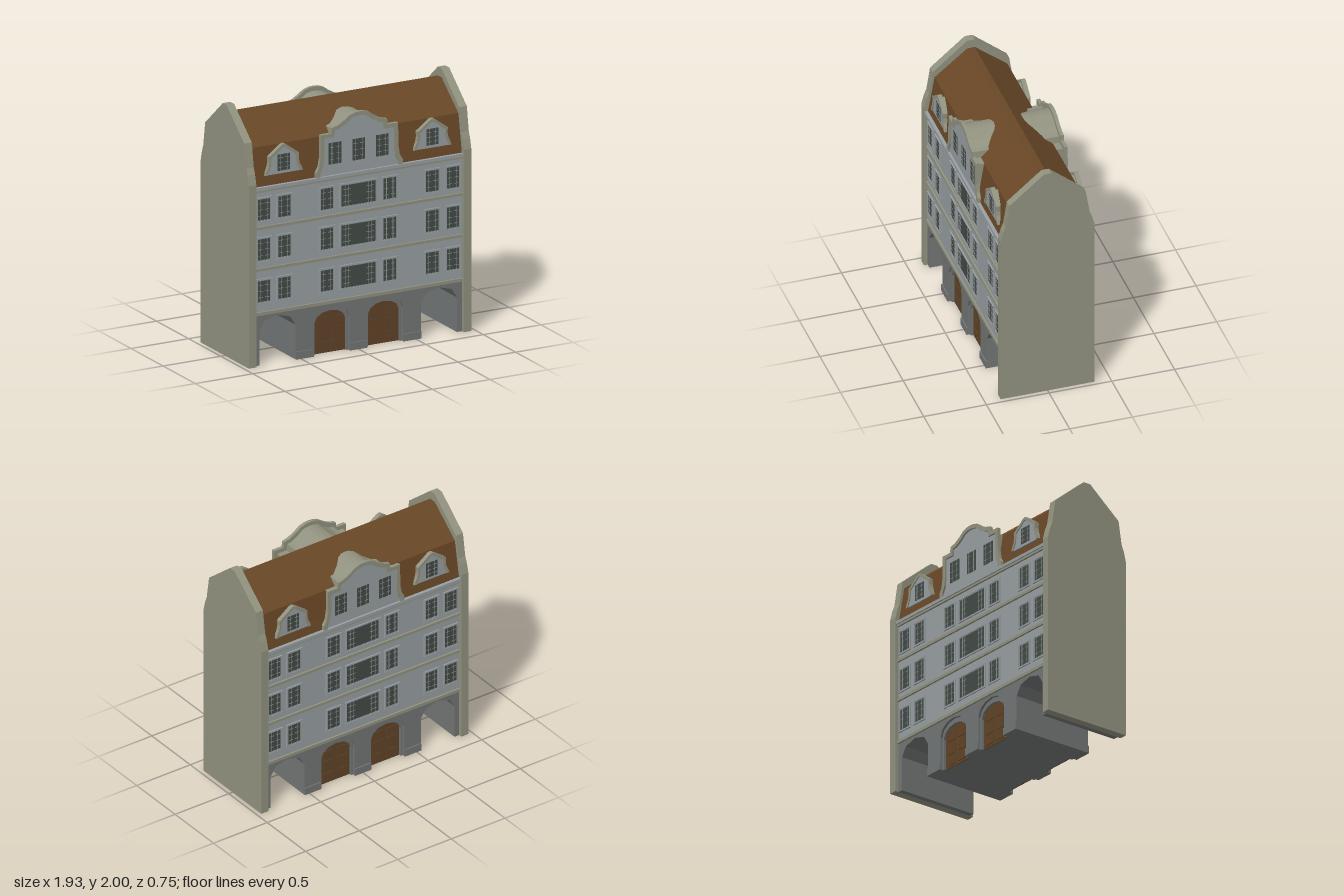
import * as THREE from 'three';

const mat = (name, color) => {
  const m = new THREE.MeshStandardMaterial({ color });
  m.name = name;
  return m;
};

export function createModel() {
  const M = {
    trim: mat('sandstone trim', 0x929280),
    wall: mat('grey plaster', 0x989fa2),
    stone: mat('dark stone', 0x727575),
    roof: mat('brown roof', 0x684726),
    door: mat('door wood', 0x5f4327),
    glass: mat('dark glass', 0x434a45),
    frame: mat('window frame', 0x8b9191),
  };
  const model = new THREE.Group();
  model.name = 'townHouse';

  const add = (parent, name, geo, material) => {
    const mesh = new THREE.Mesh(geo, material);
    mesh.name = name;
    parent.add(mesh);
    return mesh;
  };
  // Box given by its limits
  const box = (parent, name, material, x0, x1, y0, y1, z0, z1) => {
    const mesh = add(parent, name, new THREE.BoxGeometry(x1 - x0, y1 - y0, z1 - z0), material);
    mesh.position.set((x0 + x1) / 2, (y0 + y1) / 2, (z0 + z1) / 2);
    return mesh;
  };
  const toShape = (pts) => new THREE.Shape(pts.map(([x, y]) => new THREE.Vector2(x, y)));
  // Outline extruded from z0 to z1
  const slab = (parent, name, material, pts, z0, z1) => {
    const geo = new THREE.ExtrudeGeometry(toShape(pts), { depth: z1 - z0, bevelEnabled: false });
    geo.translate(0, 0, z0);
    return add(parent, name, geo, material);
  };
  // Right half (bottom to top) completed by its mirror image
  const mirror = (half) => [...half, ...half.slice().reverse().filter(([x]) => x > 0).map(([x, y]) => [-x, y])];
  const rim = (outer, inner) => [...mirror(outer), ...mirror(inner).reverse()];
  // Arch points, left to right, standing on the ground
  const arch = (cx, w, spring, top, n) => {
    const pts = [[cx - w, 0]];
    for (let i = 0; i <= n; i++) {
      const a = Math.PI * (1 - i / n);
      pts.push([cx + w * Math.cos(a), spring + (top - spring) * Math.sin(a)]);
    }
    pts.push([cx + w, 0]);
    return pts;
  };

  // Side gable walls
  const gable = mirror([[0.375, 0], [0.375, 1.45], [0.355, 1.53], [0.335, 1.58], [0.322, 1.66], [0.305, 1.77], [0.03, 2]]);
  for (const s of [-1, 1]) {
    const g = slab(model, s > 0 ? 'leftGableWall' : 'rightGableWall', M.trim, gable, -0.0325, 0.0325);
    g.rotation.y = Math.PI / 2;
    g.position.x = s * 0.9325;
  }

  // Roof and main walls
  const roof = slab(model, 'roof', M.roof,
    mirror([[0.345, 1.41], [0.325, 1.52], [0.29, 1.72], [0.03, 1.93]]), -0.9, 0.9);
  roof.rotation.y = Math.PI / 2;
  box(model, 'upperWalls', M.wall, -0.9, 0.9, 0.4, 1.41, -0.345, 0.345);

  // Ground floor with two open passages
  const passages = [arch(-0.7, 0.157, 0.275, 0.38, 4), arch(0.7, 0.157, 0.275, 0.38, 4)];
  slab(model, 'groundFloorCore', M.stone,
    [[-0.9, 0], ...passages[0], ...passages[1], [0.9, 0], [0.9, 0.4], [-0.9, 0.4]], -0.3, 0.3);

  // Window with surround, pane and glazing bars
  const buildWindow = (parent, x, y, z, w, h, surround) => {
    const g = new THREE.Group();
    g.name = 'window';
    g.position.set(x, y, z);
    parent.add(g);
    const ring = (name, material, a, b, t, d) => {
      const r = (p, q) => [[-p, -q], [p, -q], [p, q], [-p, q]];
      const shape = toShape(r(a, b));
      shape.holes.push(toShape(r(a - t, b - t)));
      add(g, name, new THREE.ExtrudeGeometry(shape, { depth: d, bevelEnabled: false }), material);
    };
    let pw = w / 2, ph = h / 2;
    if (surround) {
      ring('windowSurround', M.wall, pw, ph, 0.011, 0.01);
      pw -= 0.011; ph -= 0.011;
      ring('windowFrame', M.frame, pw, ph, 0.006, 0.006);
      pw -= 0.004; ph -= 0.004;
    }
    box(g, 'pane', M.glass, -pw, pw, -ph, ph, -0.004, 0.002);
    const cols = w > 0.2 ? [-0.115, -0.085, 0.085, 0.115] : [-0.028, 0.028];
    for (const c of cols) {
      box(g, 'uprightBar', M.frame, c - 0.0016, c + 0.0016, -ph, ph, 0, 0.005);
      for (const r of [-0.58, 0, 0.58]) {
        box(g, 'crossBar', M.frame, c - 0.018, c + 0.018, r * ph - 0.0016, r * ph + 0.0016, 0, 0.005);
      }
    }
  };

  const buildDoor = (parent, cx) => {
    const g = new THREE.Group();
    g.name = 'door';
    parent.add(g);
    const inner = arch(cx, 0.138, 0.25, 0.34, 6);
    slab(g, 'doorJamb', M.stone, [...arch(cx, 0.156, 0.27, 0.38, 6), ...inner.slice().reverse()], 0.3, 0.326);
    slab(g, 'doorLeaf', M.door, inner, 0.298, 0.306);
    for (const s of [-1, 1]) {
      for (const [y0, y1] of [[0.02, 0.09], [0.11, 0.2], [0.22, 0.285]]) {
        const a = cx + s * 0.065;
        box(g, 'doorPanel', M.door, a - 0.045, a + 0.045, y0, y1, 0.305, 0.312);
      }
    }
  };

  const dormerOuter = [[0.163, 1.5], [0.153, 1.53], [0.135, 1.565], [0.128, 1.6], [0.13, 1.645], [0.018, 1.727], [0, 1.732]];
  const dormerInner = [[0.14, 1.5], [0.135, 1.52], [0.115, 1.565], [0.108, 1.6], [0.108, 1.632], [0.012, 1.704], [0, 1.707]];
  const pedimentOuter = [[0.375, 1.42], [0.375, 1.46], [0.35, 1.5], [0.338, 1.57], [0.335, 1.755], [0.245, 1.755],
    [0.24, 1.8], [0.19, 1.812], [0.13, 1.845], [0.085, 1.878], [0.04, 1.892], [0, 1.895]];
  const pedimentInner = [[0.337, 1.42], [0.337, 1.45], [0.315, 1.5], [0.306, 1.57], [0.304, 1.722], [0.218, 1.722],
    [0.212, 1.775], [0.175, 1.782], [0.115, 1.815], [0.07, 1.85], [0.035, 1.86], [0, 1.863]];

  // One facade, used for front and back
  const buildFacade = (name) => {
    const f = new THREE.Group();
    f.name = name;

    // Arcade, doors and plinths
    const doorHoles = [arch(-0.232, 0.156, 0.27, 0.38, 6), arch(0.232, 0.156, 0.27, 0.38, 6)];
    slab(f, 'arcadeWall', M.stone, [[-0.9, 0], ...passages[0], ...doorHoles[0], ...doorHoles[1],
      ...passages[1], [0.9, 0], [0.9, 0.4], [-0.9, 0.4]], 0.3, 0.345);
    for (const s of [-1, 1]) {
      buildDoor(f, s * 0.232);
      const c = s * 0.466;
      box(f, 'plinth', M.stone, c - 0.077, c + 0.077, 0, 0.06, 0.3, 0.355);
    }
    box(f, 'plinth', M.stone, -0.075, 0.075, 0, 0.06, 0.3, 0.355);

    // Storey bands and cornice
    for (const [y0, y1] of [[0.4, 0.425], [0.752, 0.775], [1.082, 1.105], [1.378, 1.395]]) {
      box(f, 'storeyBand', M.trim, -0.9, 0.9, y0, y1, 0.33, 0.36);
    }
    box(f, 'cornice', M.wall, -0.9, 0.9, 1.395, 1.42, 0.32, 0.37);

    // Three rows of windows
    for (const y of [0.588, 0.92, 1.237]) {
      for (const x of [0.272, 0.64, 0.82]) {
        for (const s of [-1, 1]) buildWindow(f, s * x, y, 0.345, 0.142, 0.2, true);
      }
      buildWindow(f, 0, y, 0.345, 0.33, 0.2, true);
    }

    // Central pediment running back into the roof
    slab(f, 'pedimentBody', [M.wall, M.trim], mirror(pedimentInner), 0.08, 0.352);
    slab(f, 'pedimentTrim', M.trim, rim(pedimentOuter, pedimentInner), 0.338, 0.366);
    for (const x of [-0.205, 0, 0.205]) buildWindow(f, x, 1.592, 0.352, 0.11, 0.17, false);

    // Dormers
    for (const s of [-1, 1]) {
      const d = new THREE.Group();
      d.name = s > 0 ? 'leftDormer' : 'rightDormer';
      d.position.x = s * 0.645;
      f.add(d);
      slab(d, 'dormerBody', [M.wall, M.trim], mirror(dormerInner), 0.25, 0.343);
      slab(d, 'dormerTrim', M.trim, rim(dormerOuter, dormerInner), 0.315, 0.35);
      buildWindow(d, 0, 1.587, 0.343, 0.105, 0.13, false);
    }
    return f;
  };
  model.add(buildFacade('frontFacade'));
  const back = buildFacade('backFacade');
  back.rotation.y = Math.PI;
  model.add(back);
  return model;
}
